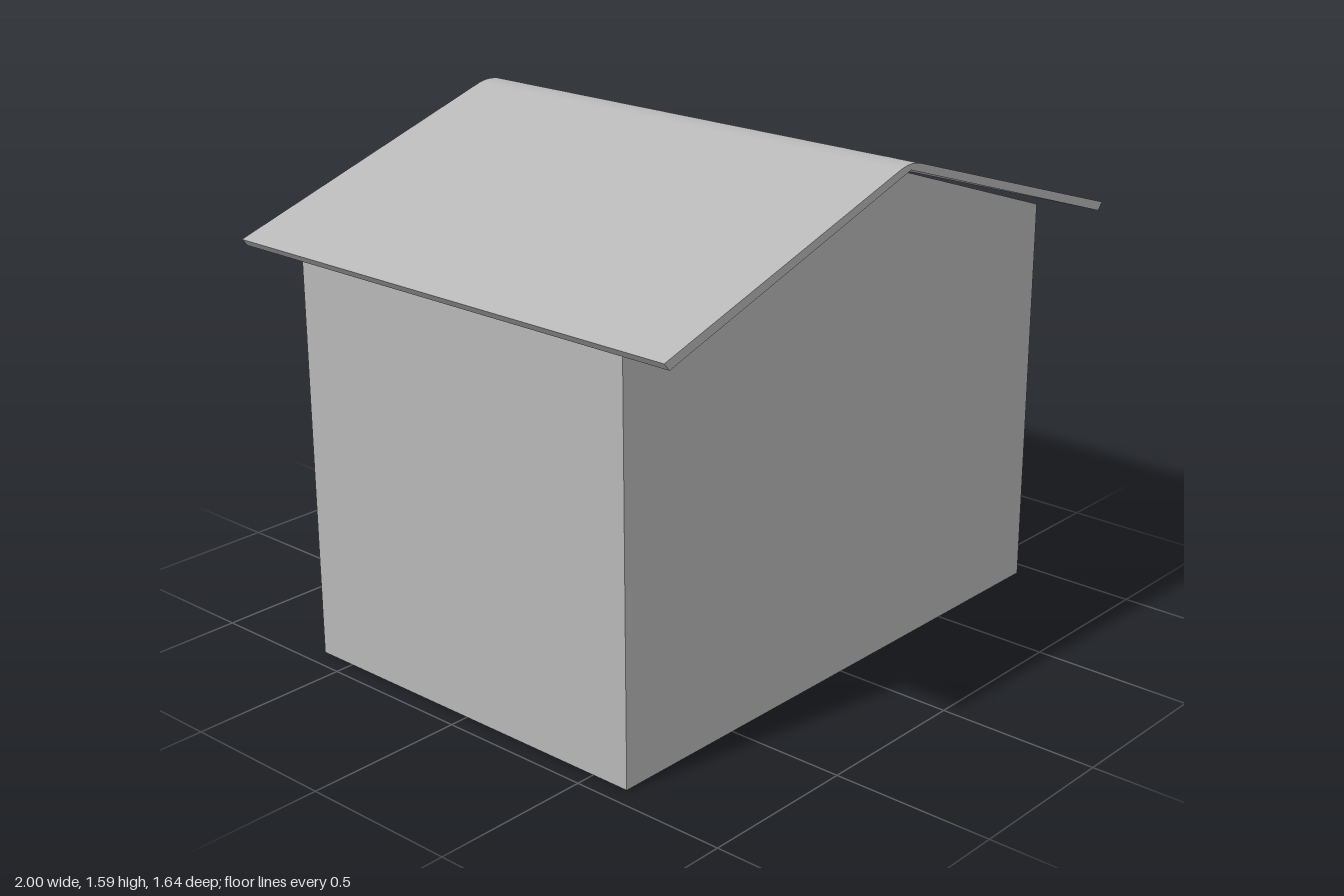
import * as THREE from 'three';
import { toCreasedNormals } from 'three/addons/utils/BufferGeometryUtils.js';

const HALF_W = 0.94, HALF_D = 0.625, EAVE = 1.25, PEAK = 1.57;
const SIDE_T = 0.0625, GABLE_T = 0.035;

function polygon(points) {
  return new THREE.Shape(points.map(([x, y]) => new THREE.Vector2(x, y)));
}

// Extrudes an x-y shape from z0 to z1
function slab(shape, z0, z1) {
  const geometry = new THREE.ExtrudeGeometry(shape, { depth: z1 - z0, bevelEnabled: false, curveSegments: 24 });
  geometry.translate(0, 0, z0);
  return toCreasedNormals(geometry, 0.4);
}

function gable() {
  return polygon([[-HALF_W, 0], [HALF_W, 0], [HALF_W, EAVE], [0, PEAK], [-HALF_W, EAVE]]);
}

export function createModel() {
  const house = new THREE.Group();
  house.name = 'kennel';
  const grey = new THREE.MeshStandardMaterial({ color: 0xb8b8b8 });
  grey.name = 'plain grey';

  const add = (name, geometry) => {
    const mesh = new THREE.Mesh(geometry, grey);
    mesh.name = name;
    house.add(mesh);
  };

  // Closed gable wall
  add('frontWall', slab(gable(), HALF_D - GABLE_T, HALF_D));

  // Gable wall with an arched doorway above a very low sill
  const doorR = 0.28, spring = 0.735, sill = 0.005;
  const back = gable();
  const door = new THREE.Path();
  door.moveTo(-doorR, sill);
  door.lineTo(doorR, sill);
  door.lineTo(doorR, spring);
  door.absarc(0, spring, doorR, 0, Math.PI, false);
  door.lineTo(-doorR, sill);
  back.holes.push(door);
  add('doorWall', slab(back, -HALF_D, -HALF_D + GABLE_T));

  // Side walls, their tops sloped with the gables
  const inner = HALF_W - SIDE_T;
  const innerTop = EAVE + SIDE_T * (PEAK - EAVE) / HALF_W;
  for (const [name, s] of [['leftWall', 1], ['rightWall', -1]]) {
    const profile = polygon([[s * inner, 0], [s * HALF_W, 0], [s * HALF_W, EAVE], [s * inner, innerTop]]);
    add(name, slab(profile, -HALF_D + GABLE_T, HALF_D - GABLE_T));
  }

  // Overhanging roof sheet, bent over a rounded ridge
  const roof = new THREE.Shape();
  roof.moveTo(-0.98, 1.257);
  roof.lineTo(0, 1.573);
  roof.lineTo(0.98, 1.257);
  roof.lineTo(1, 1.28);
  roof.lineTo(0.05, 1.582);
  roof.quadraticCurveTo(0, 1.598, -0.05, 1.582);
  roof.lineTo(-1, 1.28);
  roof.closePath();
  add('roof', slab(roof, -0.82, 0.82));

  return house;
}
